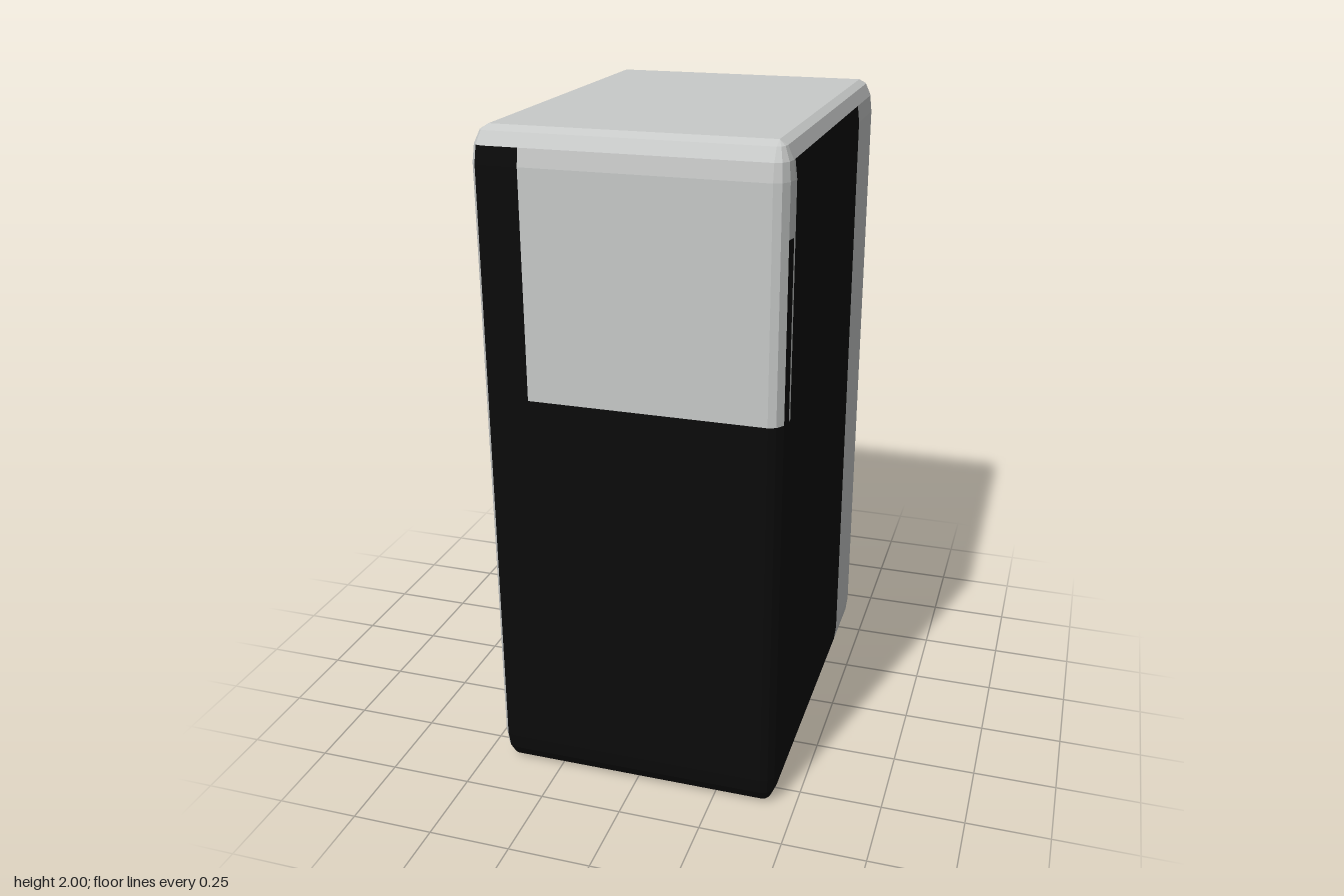
import * as THREE from 'three';

const HX = 0.4425, H = 2, HZ = 0.6125;      // half width, height, half depth
const RX = 0.0442, RY = 0.1, RZ = 0.0612;   // bevel size along each axis
const STEPS = [0, 30, 60, 90].map(THREE.MathUtils.degToRad);
const PANEL_BACK = -0.33, WINDOW_SIDE = 0.535, WINDOW_LEFT = -0.295, WINDOW_BOTTOM = 1.24;

// Rounded rectangle at one level; s is how far the bevel has swung out (0 to 1)
function ring(y, s) {
  const points = [];
  const add = (x, z) => points.push(new THREE.Vector3(x, y, z));
  const x = HX - RX, z = HZ - RZ;
  const side = x + RX * s;
  const corner = (sx, sz, start) => STEPS.forEach((a) =>
    add(sx * x + RX * s * Math.sin(start + a), sz * z + RZ * s * Math.cos(start + a)));
  corner(1, 1, 0);
  add(side, WINDOW_SIDE);
  add(side, PANEL_BACK);
  corner(1, -1, Math.PI / 2);
  corner(-1, -1, Math.PI);
  add(-side, PANEL_BACK);
  add(-side, WINDOW_SIDE);
  corner(-1, 1, Math.PI * 1.5);
  add(WINDOW_LEFT, z + RZ * s);
  return points;
}

// Dark cladding wraps the front, left side and underside, leaving a pale front panel
function isDark(c) {
  if (c.z < PANEL_BACK || c.y > 1.95 || c.x < -0.42) return false;
  const inPanel = c.z > WINDOW_SIDE && c.y > WINDOW_BOTTOM && c.x > WINDOW_LEFT;
  const cornerStrip = c.x > 0.435 && c.z > 0.552 && c.y < 1.75;
  return !inPanel || cornerStrip;
}

export function createModel() {
  const pale = [], dark = [];
  const quad = (a, b, c, d) => {
    const centre = a.clone().add(b).add(c).add(d).multiplyScalar(0.25);
    const list = isDark(centre) ? dark : pale;
    for (const p of [a, b, c, a, c, d]) list.push(p.x, p.y, p.z);
  };

  // Walls and bevels, ring by ring
  const rings = [
    ...STEPS.map((a) => ring(RY * (1 - Math.cos(a)), Math.sin(a))),
    ring(WINDOW_BOTTOM, 1),
    ring(1.75, 1),
    ...STEPS.map((a) => ring(H - RY + RY * Math.sin(a), Math.cos(a))),
  ];
  for (let k = 0; k < rings.length - 1; k++) {
    const lo = rings[k], hi = rings[k + 1];
    lo.forEach((p, i) => {
      const j = (i + 1) % lo.length;
      quad(p, lo[j], hi[j], hi[i]);
    });
  }

  // Flat top and underside, split where the cladding ends
  const x = HX - RX, z = HZ - RZ;
  const v = (px, py, pz) => new THREE.Vector3(px, py, pz);
  for (const [z0, z1] of [[-z, PANEL_BACK], [PANEL_BACK, z]]) {
    quad(v(-x, H, z1), v(x, H, z1), v(x, H, z0), v(-x, H, z0));
    quad(v(-x, 0, z0), v(x, 0, z0), v(x, 0, z1), v(-x, 0, z1));
  }

  const group = new THREE.Group();
  group.name = 'cabinet';
  const addMesh = (name, positions, colourName, color) => {
    const geometry = new THREE.BufferGeometry();
    geometry.setAttribute('position', new THREE.Float32BufferAttribute(positions, 3));
    geometry.computeVertexNormals();
    const material = new THREE.MeshStandardMaterial({ color, flatShading: true });
    material.name = colourName;
    const mesh = new THREE.Mesh(geometry, material);
    mesh.name = name;
    group.add(mesh);
  };
  addMesh('paleShell', pale, 'pale grey', 0xc8cac9);
  addMesh('darkCladding', dark, 'black', 0x0b0b0b);
  return group;
}
